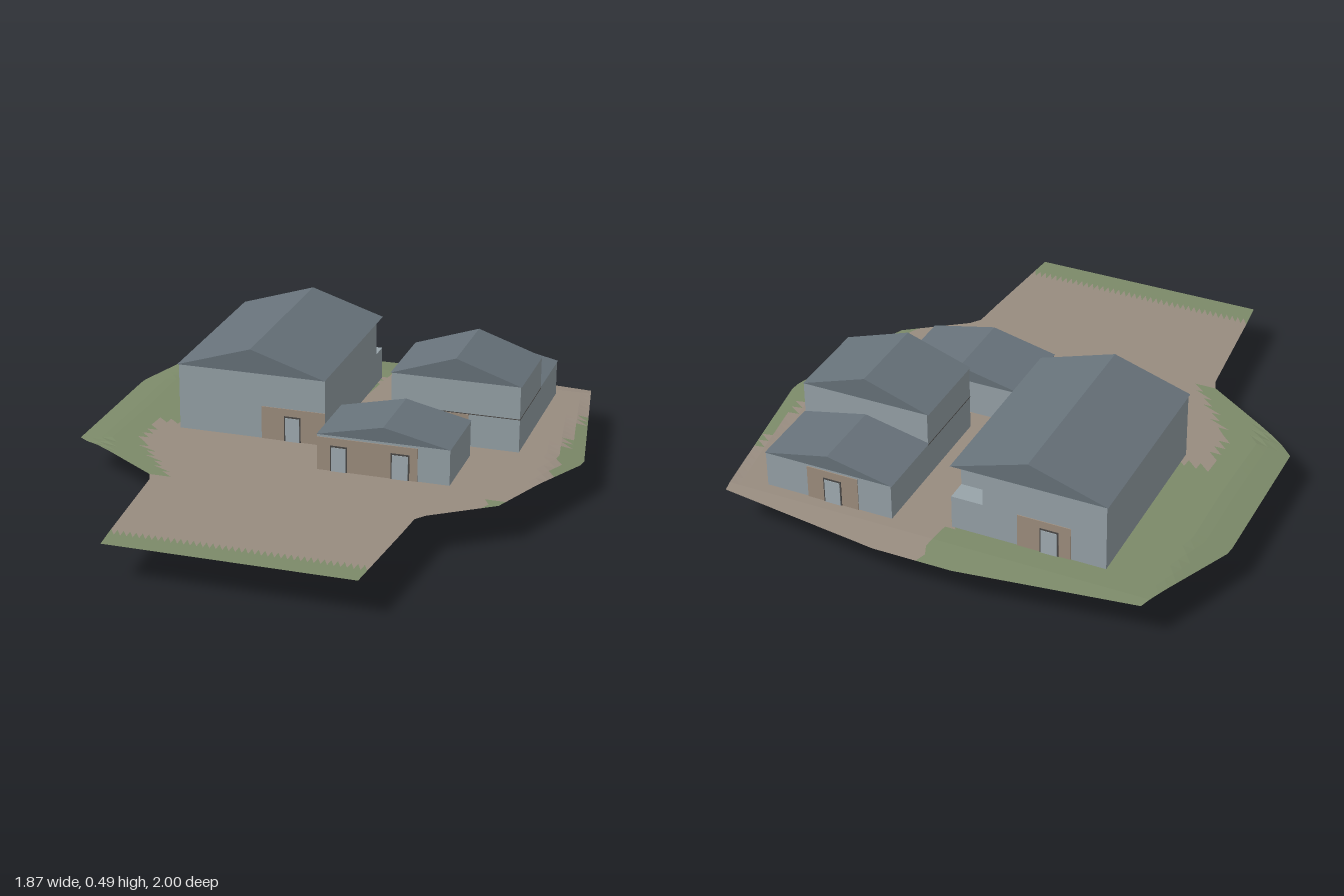
import * as THREE from 'three';

const mat = (name, color, side = THREE.FrontSide) => {
  const m = new THREE.MeshStandardMaterial({ color, side });
  m.name = name;
  return m;
};

export function createModel() {
  const root = new THREE.Group();
  root.name = 'farmyard';
  const wall = mat('blue grey wall', 0x98a4aa);
  const roofMat = mat('slate', 0x68737b);
  const tan = mat('tan boarding', 0xa09080);
  const doorMat = mat('pale door', 0xa3afb5);
  const frame = mat('dark frame', 0x4c4a48);
  const dirt = mat('bare earth', 0x988c80, THREE.DoubleSide);
  const grass = mat('grass', 0x7c8a69, THREE.DoubleSide);

  const add = (parent, name, geo, material) => {
    const m = new THREE.Mesh(geo, material);
    m.name = name;
    parent.add(m);
    return m;
  };
  // Box given by its extents
  const box = (parent, name, material, x0, x1, y0, y1, z0, z1) =>
    add(parent, name, new THREE.BoxGeometry(x1 - x0, y1 - y0, z1 - z0), material)
      .position.set((x0 + x1) / 2, (y0 + y1) / 2, (z0 + z1) / 2);

  // Gabled roof prism with its ridge along z
  const roof = (parent, x0, x1, z0, z1, eave, ridge) => {
    const s = new THREE.Shape();
    s.moveTo(x0, eave);
    s.lineTo(x1, eave);
    s.lineTo((x0 + x1) / 2, ridge);
    s.closePath();
    const g = new THREE.ExtrudeGeometry(s, { depth: z1 - z0, bevelEnabled: false });
    g.translate(0, 0, z0);
    add(parent, 'roof', g, roofMat);
  };

  // Tan footing ring hanging below the ground
  const footing = (parent, x0, x1, z0, z1, y0) => {
    const t = 0.015, y1 = 0.137;
    for (const [a, b] of [[x0 - t, x0], [x1, x1 + t]])
      box(parent, 'footing', tan, a, b, y0, y1, z0 - t, z1 + t);
    for (const [a, b] of [[z0 - t, z0], [z1, z1 + t]])
      box(parent, 'footing', tan, x0, x1, y0, y1, a, b);
  };

  // Boarded panel with doors; dir is +1 for a front wall, -1 for a back wall
  const boarding = (parent, x0, x1, z, dir, doors) => {
    const plate = (name, m, a, b, y1, d) =>
      box(parent, name, m, a, b, 0.14, y1, Math.min(z, z + dir * d), Math.max(z, z + dir * d));
    plate('boarding', tan, x0, x1, 0.27, 0.003);
    for (const [a, b] of doors) {
      plate('doorFrame', frame, a - 0.005, b + 0.005, 0.241, 0.005);
      plate('door', doorMat, a, b, 0.235, 0.007);
    }
  };

  // Terrain: strips between the left and right outline, coloured per triangle
  const leftEdge = [[-1, -0.12], [-0.92, -0.78], [-0.51, -0.94], [0.13, -0.94], [0.41, -0.53], [0.9, -0.49], [1, -0.48]];
  const rightEdge = [[-1, 0.18], [-0.92, 0.81], [-0.22, 0.93], [0.28, 0.73], [0.46, 0.48], [0.6, 0.47], [1, 0.435]];
  const at = (edge, z) => {
    let i = 0;
    while (i < edge.length - 2 && z > edge[i + 1][0]) i++;
    const [[za, xa], [zb, xb]] = [edge[i], edge[i + 1]];
    return xa + (xb - xa) * (z - za) / (zb - za);
  };
  const isGrass = (x, z) => {
    if (z > 0.9) return true;
    if (z < -0.1 && x < (z < -0.8 ? 0.01 : -0.02)) return true;
    if (z < 0.4 && x < -0.7 + Math.max(0, z - 0.1) * 0.75) return true;
    return x > 0.84 && z > -0.65 && z < 0.02 || x > 0.68 && z > 0.24 && z < 0.32;
  };
  const height = (x, z) => 0.141 - 0.018 * Math.max(0, (Math.abs(x) - 0.82) / 0.12)
    - 0.012 * Math.max(0, (-z - 0.88) / 0.12);
  const land = { dirt: [], grass: [] };
  const rows = 50, cols = 40;
  const point = (i, j) => {
    const z = -1 + 2 * i / rows;
    const l = at(leftEdge, z), r = at(rightEdge, z);
    const x = l + (r - l) * j / cols;
    return [x, height(x, z), z];
  };
  for (let i = 0; i < rows; i++) for (let j = 0; j < cols; j++) {
    const a = point(i, j), b = point(i + 1, j), c = point(i + 1, j + 1), d = point(i, j + 1);
    for (const tri of [[a, b, c], [a, c, d]]) {
      const cx = (tri[0][0] + tri[1][0] + tri[2][0]) / 3;
      const cz = (tri[0][2] + tri[1][2] + tri[2][2]) / 3;
      land[isGrass(cx, cz) ? 'grass' : 'dirt'].push(...tri.flat());
    }
  }
  for (const [name, material] of [['dirt', dirt], ['grass', grass]]) {
    const g = new THREE.BufferGeometry();
    g.setAttribute('position', new THREE.Float32BufferAttribute(land[name], 3));
    g.computeVertexNormals();
    add(root, name + 'Ground', g, material);
  }

  // Large barn with a cellar and a notched balcony corner
  const barn = new THREE.Group();
  barn.name = 'largeBarn';
  root.add(barn);
  box(barn, 'lowerWalls', wall, -0.6, -0.02, 0.02, 0.27, -0.79, -0.05);
  const plan = new THREE.Shape([[-0.6, 0.05], [-0.02, 0.05], [-0.02, 0.71], [-0.14, 0.71], [-0.14, 0.79], [-0.6, 0.79]]
    .map(([x, y]) => new THREE.Vector2(x, y)));
  const upper = new THREE.ExtrudeGeometry(plan, { depth: 0.13, bevelEnabled: false });
  upper.rotateX(-Math.PI / 2).translate(0, 0.27, 0);
  add(barn, 'upperWalls', upper, wall);
  roof(barn, -0.605, -0.02, -0.795, -0.045, 0.4, 0.493);
  boarding(barn, -0.27, -0.02, -0.05, 1, [[-0.175, -0.12]]);
  boarding(barn, -0.47, -0.27, -0.79, -1, [[-0.42, -0.36]]);
  box(barn, 'cellarFloor', roofMat, -0.598, -0.022, 0.015, 0.02, -0.788, -0.052);
  box(barn, 'cellarSlab', roofMat, -0.27, -0.03, 0.007, 0.015, -0.71, -0.29);
  box(barn, 'cellarHatch', frame, -0.24, -0.18, 0, 0.007, -0.55, -0.52);
  footing(barn, -0.6, -0.03, -0.79, -0.05, 0.105);

  // House with a tall front and a lower rear wing
  const house = new THREE.Group();
  house.name = 'house';
  root.add(house);
  box(house, 'frontWalls', wall, 0.19, 0.685, 0.115, 0.4, -0.55, -0.21);
  box(house, 'rearWalls', wall, 0.19, 0.685, 0.115, 0.28, -0.835, -0.55);
  box(house, 'floor', roofMat, 0.19, 0.685, 0.11, 0.115, -0.835, -0.21);
  box(house, 'floorHatch', frame, 0.41, 0.47, 0.107, 0.11, -0.56, -0.53);
  // Thin line between the storeys
  box(house, 'storeyLine', frame, 0.189, 0.686, 0.27, 0.273, -0.55, -0.209);
  roof(house, 0.185, 0.688, -0.55, -0.21, 0.4, 0.485);
  roof(house, 0.185, 0.688, -0.838, -0.55, 0.28, 0.335);
  boarding(house, 0.24, 0.49, -0.21, 1, [[0.33, 0.39]]);
  boarding(house, 0.32, 0.52, -0.835, -1, [[0.39, 0.45]]);
  footing(house, 0.19, 0.68, -0.835, -0.21, 0.107);

  // Small shed at the front
  const shed = new THREE.Group();
  shed.name = 'shed';
  root.add(shed);
  box(shed, 'walls', wall, 0.02, 0.52, 0.11, 0.28, -0.125, 0.165);
  box(shed, 'floor', roofMat, 0.02, 0.52, 0.105, 0.11, -0.125, 0.165);
  roof(shed, 0.018, 0.522, -0.13, 0.168, 0.28, 0.336);
  boarding(shed, 0.02, 0.4, 0.165, 1, [[0.075, 0.13], [0.305, 0.365]]);
  footing(shed, 0.03, 0.51, -0.125, 0.165, 0.1);

  // Sunken pads by the doors
  box(root, 'doorPad', dirt, 0.04, 0.4, 0.11, 0.138, 0.18, 0.29);
  box(root, 'doorPad', dirt, 0.32, 0.52, 0.11, 0.128, -0.92, -0.85);
  box(root, 'doorPad', dirt, -0.25, -0.03, 0.097, 0.138, -0.035, 0.08);
  return root;
}
